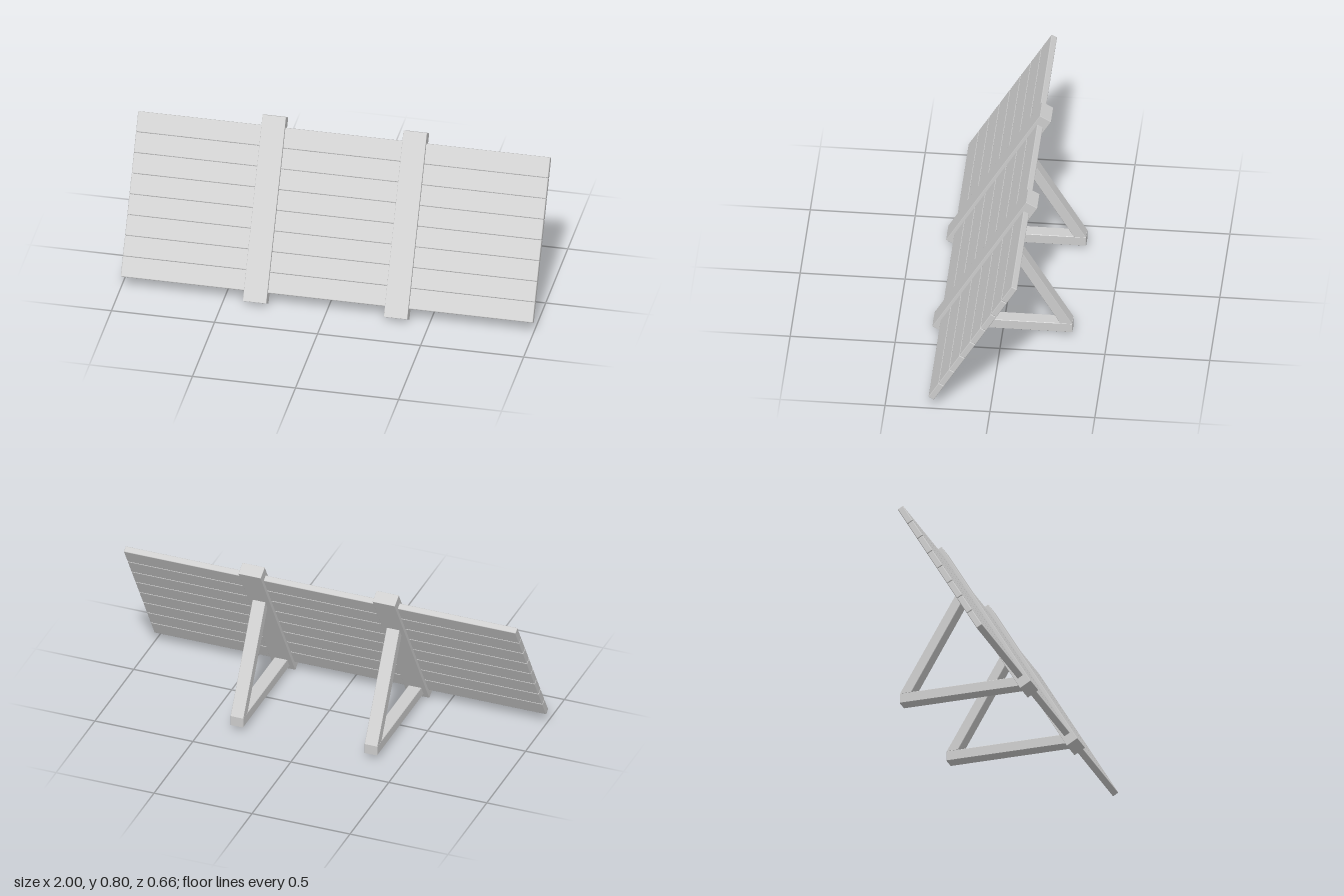
import * as THREE from 'three';
import { RoundedBoxGeometry } from 'three/addons/geometries/RoundedBoxGeometry.js';

const material = new THREE.MeshStandardMaterial({ color: 0xcccccc });

function beam(name, w, h, d, radius) {
  const mesh = new THREE.Mesh(new RoundedBoxGeometry(w, h, d, 2, radius), material);
  mesh.name = name;
  return mesh;
}

// Timber with a side profile given as [z, y] points, centred across x.
function profileBeam(name, points, width) {
  const bevel = 0.002;
  const shape = new THREE.Shape(points.map(([z, y]) => new THREE.Vector2(z, y)));
  const geometry = new THREE.ExtrudeGeometry(shape, {
    depth: width - 2 * bevel, bevelEnabled: true, bevelThickness: bevel,
    bevelSize: bevel, bevelOffset: -bevel, bevelSegments: 1,
  });
  geometry.translate(0, 0, bevel - width / 2);
  geometry.rotateY(-Math.PI / 2);
  const mesh = new THREE.Mesh(geometry, material);
  mesh.name = name;
  return mesh;
}

export function createModel() {
  const model = new THREE.Group();
  model.name = 'plankBarricade';

  // Leaning panel: planks running through two posts
  const panel = new THREE.Group();
  panel.name = 'leaningPanel';
  panel.position.set(0, 0.4, 0.082);
  panel.rotation.x = THREE.MathUtils.degToRad(-30.2);
  model.add(panel);

  const count = 8, pitch = 0.0988;
  for (let i = 0; i < count; i++) {
    const plank = beam('plank', 2, pitch - 0.001, 0.031, 0.004);
    plank.position.y = (i - (count - 1) / 2) * pitch;
    panel.add(plank);
  }

  for (const side of [-1, 1]) {
    const x = side * 0.342;
    const post = beam('post', 0.114, 0.89, 0.062, 0.002);
    post.position.x = x;
    panel.add(post);

    // Rear support: foot beam on the ground side and a sloping brace
    const support = new THREE.Group();
    support.name = 'rearSupport';
    support.position.x = x;
    support.add(
      profileBeam('footBeam', [[-0.333, 0.025], [0.275, 0.025], [0.25, 0.075], [-0.333, 0.075]], 0.065),
      profileBeam('brace', [[-0.333, 0.073], [-0.276, 0.073], [-0.012, 0.525], [-0.04, 0.571]], 0.065),
    );
    model.add(support);
  }
  return model;
}
